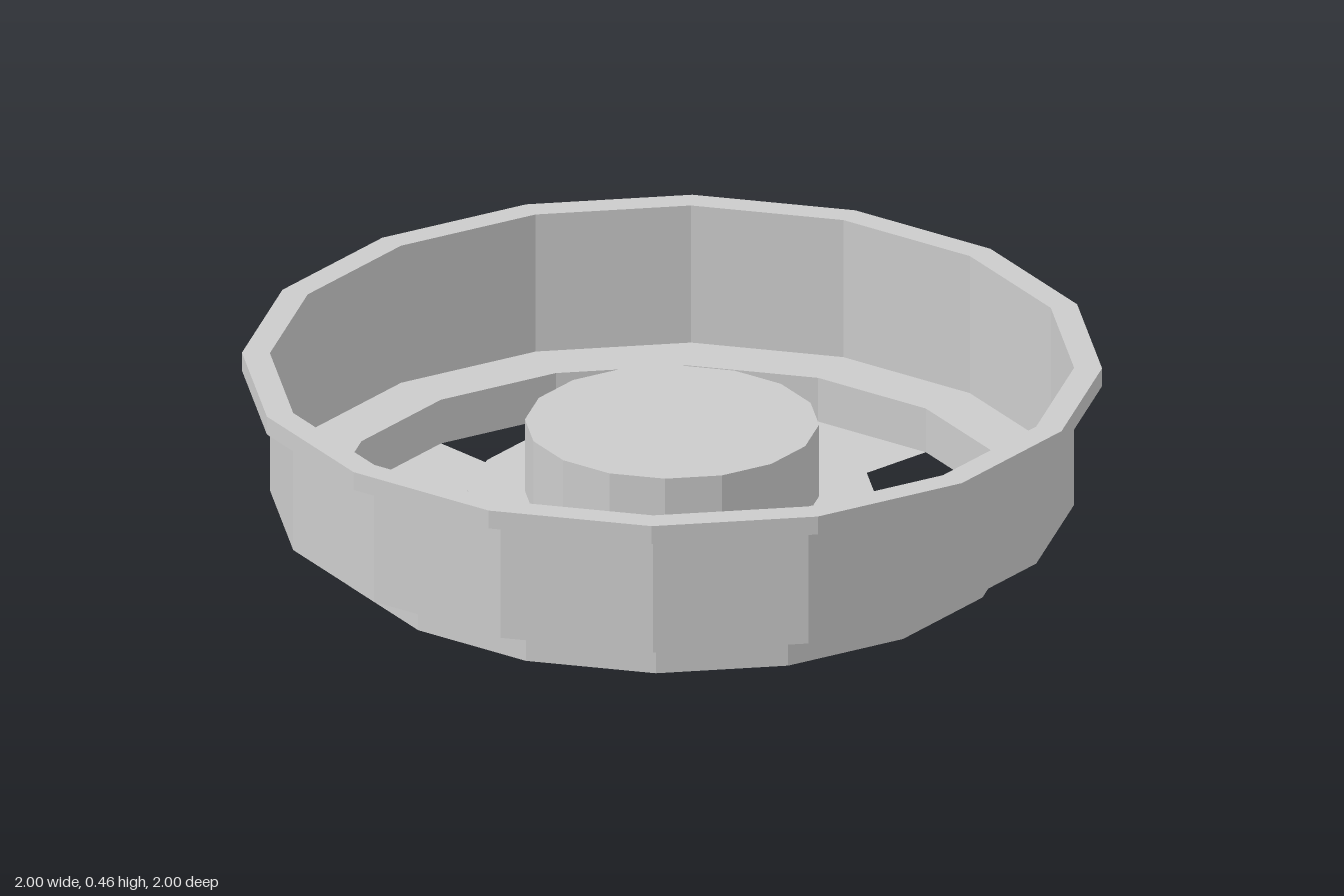
import * as THREE from 'three';

const SIDES = 16;
const STEP = (Math.PI * 2) / SIDES;

const material = new THREE.MeshStandardMaterial({
  color: 0xcccccc,
  flatShading: true,
  side: THREE.DoubleSide,
});

// Revolves a [radius, height] profile as a faceted thin sheet
function revolve(name, profile, segments = SIDES, start = 0) {
  const points = profile.map(([r, y]) => new THREE.Vector2(r, y));
  const geometry = new THREE.LatheGeometry(points, segments, start, segments * STEP);
  const mesh = new THREE.Mesh(geometry, material);
  mesh.name = name;
  return mesh;
}

export function createModel() {
  const model = new THREE.Group();
  model.name = 'spokedWheel';

  // Stepped outer drum: narrow foot, ledge and tall wall
  model.add(revolve('drum', [[0.797, 0], [0.797, 0.11], [0.935, 0.11], [0.935, 0.41]]));

  // Flanged lip around the top
  model.add(revolve('lip', [[0.935, 0.41], [1, 0.41], [1, 0.455], [0.935, 0.455], [0.935, 0.41]]));

  // Hollow stepped hub with a raised cap
  model.add(revolve('hub', [[0.475, 0], [0.475, 0.12], [0.342, 0.12], [0.342, 0.3], [0, 0.3]]));

  // Flat spokes filling every other sector between hub and drum
  const spokes = new THREE.Group();
  spokes.name = 'spokes';
  for (let i = 0; i < SIDES; i += 2) {
    spokes.add(revolve('spoke', [[0.475, 0], [0.797, 0]], 1, i * STEP));
  }
  model.add(spokes);

  return model;
}
